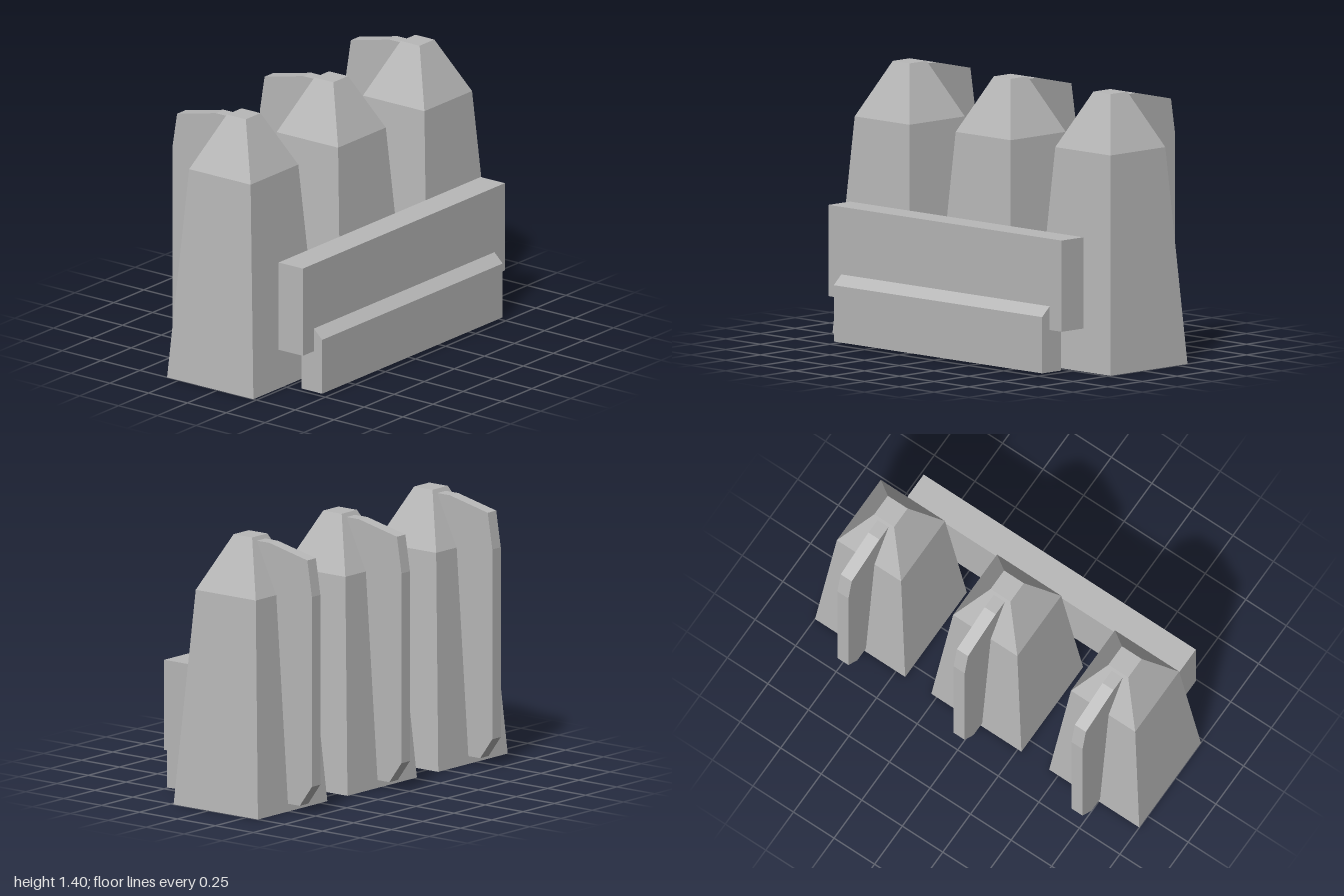
import * as THREE from 'three';

const stone = new THREE.MeshStandardMaterial({ color: 0xb8b8b8 });
stone.name = 'grey';

// Prism from an x/y outline, running along z between z0 and z1
function prism(name, outline, z0, z1) {
  const shape = new THREE.Shape(outline.map(([x, y]) => new THREE.Vector2(x, y)));
  const geometry = new THREE.ExtrudeGeometry(shape, { depth: z1 - z0, bevelEnabled: false });
  geometry.translate(0, 0, z0);
  const mesh = new THREE.Mesh(geometry, stone);
  mesh.name = name;
  return mesh;
}

// Square tapered tower from [half width, height] pairs, bottom to top
function towerGeometry(profile) {
  const points = profile.map(([half, y]) => new THREE.Vector2(half * Math.SQRT2, y));
  const geometry = new THREE.LatheGeometry(points, 4, Math.PI / 4).toNonIndexed();
  geometry.computeVertexNormals();
  return geometry;
}

export function createModel() {
  const model = new THREE.Group();
  model.name = 'towerRow';

  // Three tapered towers, each with a fin on its -x side
  const towerShape = towerGeometry([[0, 0], [0.278, 0], [0.198, 1.117], [0.061, 1.403], [0, 1.403]]);
  const finOutline = [
    [-0.115, 0.04], [-0.115, 1.383], [-0.2, 1.383], [-0.45, 1.327],
    [-0.48, 1.14], [-0.48, 0.15], [-0.4, 0.04],
  ];
  for (const z of [-0.722, -0.005, 0.722]) {
    const unit = new THREE.Group();
    unit.name = 'towerUnit';
    unit.position.z = z;
    const tower = new THREE.Mesh(towerShape, stone);
    tower.name = 'tower';
    tower.position.x = -0.047;
    unit.add(tower, prism('fin', finOutline, -0.034, 0.034));
    model.add(unit);
  }

  // Long upper beam and chamfered lower beam on the +x side
  model.add(prism('upperBeam', [[0.267, 0.23], [0.423, 0.23], [0.423, 0.7], [0.267, 0.7]], -0.842, 0.837));
  model.add(prism('lowerBeam', [
    [0.342, 0.012], [0.476, 0.012], [0.476, 0.302], [0.423, 0.352], [0.342, 0.352],
  ], -0.755, 0.745));

  return model;
}
